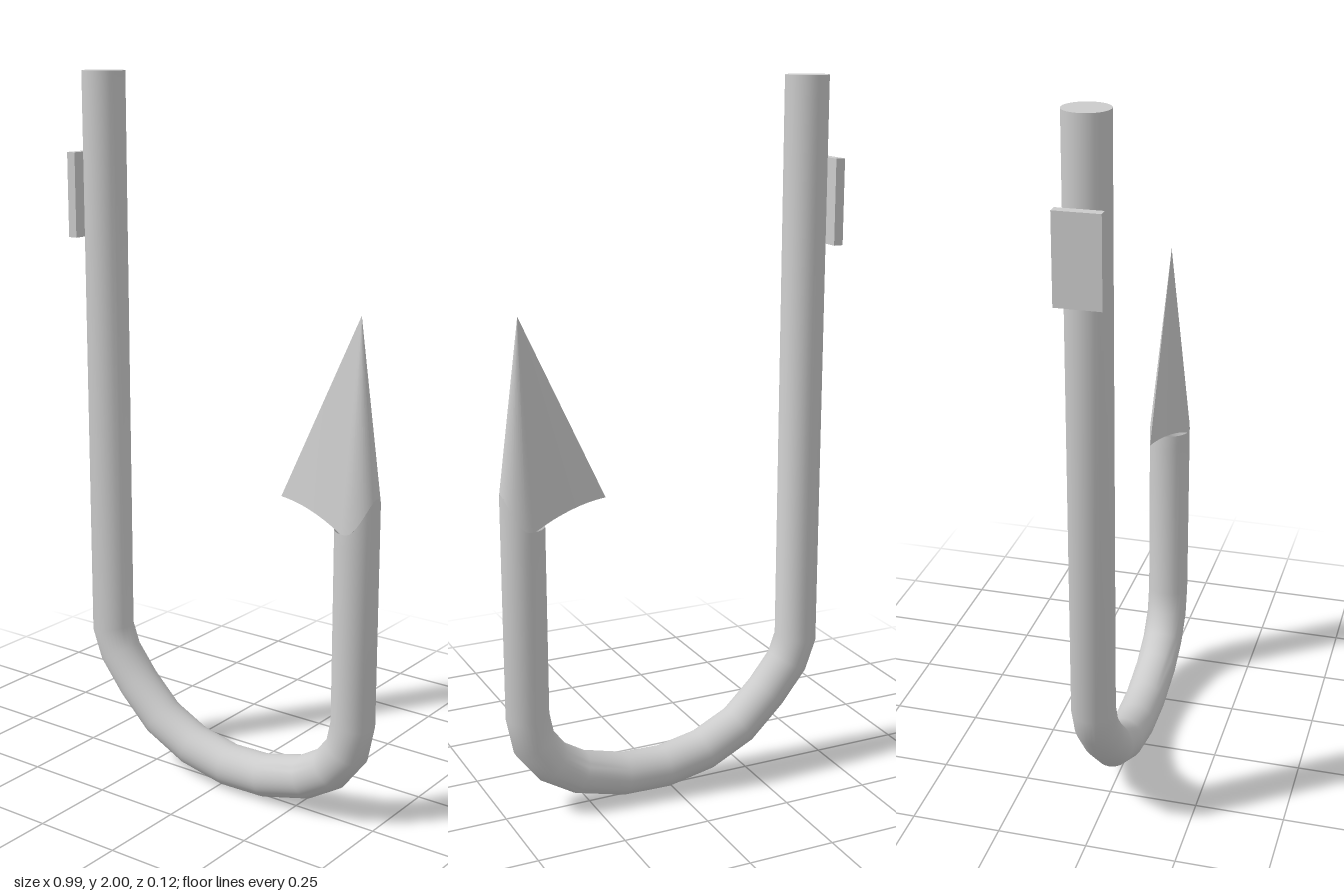
import * as THREE from 'three';
import { toCreasedNormals } from 'three/addons/utils/BufferGeometryUtils.js';

const R = 0.06, SIDES = 32;

function toGeometry(positions, index, crease) {
  const g = new THREE.BufferGeometry();
  g.setAttribute('position', new THREE.Float32BufferAttribute(positions, 3));
  g.setIndex(index);
  return toCreasedNormals(g, crease);
}

// Round rod swept along a polyline in the xy plane, with mitred joints
function rodGeometry(points) {
  const path = points.map(p => new THREE.Vector2(...p));
  const last = path.length - 1;
  const pos = [], index = [];
  path.forEach((p, i) => {
    const a = path[Math.max(i - 1, 0)], b = path[Math.min(i + 1, last)];
    const d1 = (i > 0 ? p.clone().sub(a) : b.clone().sub(p)).normalize();
    const d2 = (i < last ? b.clone().sub(p) : d1.clone()).normalize();
    const t = d1.clone().add(d2).normalize();
    const reach = R / t.dot(d1);
    for (let j = 0; j < SIDES; j++) {
      const ang = j / SIDES * Math.PI * 2, c = Math.cos(ang) * reach;
      const x = p.x - t.y * c;
      let y = p.y + t.x * c;
      // slanted end that meets the rim of the point
      if (i === last) y = rimHeight(x);
      pos.push(x, y, Math.sin(ang) * R);
    }
    if (i === 0) return;
    for (let j = 0; j < SIDES; j++) {
      const k = (j + 1) % SIDES, r0 = (i - 1) * SIDES, r1 = i * SIDES;
      index.push(r0 + j, r1 + k, r0 + k, r0 + j, r1 + j, r1 + k);
    }
  });
  // flat cap on the top of the shank
  const centre = pos.length / 3;
  pos.push(path[0].x, path[0].y, 0);
  for (let j = 0; j < SIDES; j++) index.push(centre, j, (j + 1) % SIDES);
  return toGeometry(pos, index, 0.9);
}

// Lower rim of the point rises from the sides towards the outer edge
function rimHeight(x) {
  return 0.845 + 0.095 * Math.max(0, (x - 0.43) / R) ** 2;
}

// Barbed point: a teardrop rim drawn up to a sharp apex, closed underneath
function pointGeometry() {
  const apex = [0.43, 1.41, 0], barbX = 0.19, rim = [];
  const tangent = Math.acos(R / (0.43 - barbX));
  const tx = 0.43 - R * Math.cos(tangent), tz = R * Math.sin(tangent);
  for (let i = 0; i <= 8; i++) {
    const s = i / 8;
    rim.push([barbX + (tx - barbX) * s, 0.895 - 0.05 * s * s, tz * s]);
  }
  for (let i = 1; i <= 12; i++) {
    const a = tangent + (Math.PI - tangent) * i / 12;
    const x = 0.43 - R * Math.cos(a);
    rim.push([x, rimHeight(x), R * Math.sin(a)]);
  }
  const n = rim.length, pos = [];
  rim.forEach(([x, y, z]) => pos.push(x, y, z));
  rim.forEach(([x, y, z]) => pos.push(x, y, -z));
  pos.push(...apex);
  const index = [], top = 2 * n;
  for (let i = 0; i < n - 1; i++) {
    index.push(i, i + 1, top);
    index.push(n + i + 1, n + i, top);
    index.push(i, n + i, n + i + 1, i, n + i + 1, i + 1);
  }
  return toGeometry(pos, index, 0.4);
}

export function createModel() {
  const model = new THREE.Group();
  model.name = 'hook';
  const material = new THREE.MeshStandardMaterial({ color: 0xcccccc, side: THREE.DoubleSide });
  const add = (name, geometry) => {
    const mesh = new THREE.Mesh(geometry, material);
    mesh.name = name;
    model.add(mesh);
    return mesh;
  };

  // Straight shank, faceted bend and short upright arm
  add('shankAndBend', rodGeometry([
    [-0.41, 2], [-0.41, 0.39], [-0.383, 0.317], [-0.315, 0.232], [-0.225, 0.145],
    [-0.11, 0.088], [0.017, 0.062], [0.145, 0.065], [0.28, 0.1], [0.36, 0.148],
    [0.413, 0.217], [0.43, 0.3], [0.43, 0.8], [0.43, 0.845],
  ]));

  add('barbedPoint', pointGeometry());

  // Small plate on the outside of the shank
  add('plate', new THREE.BoxGeometry(0.027, 0.235, 0.122)).position.set(-0.483, 1.662, -0.002);

  return model;
}
